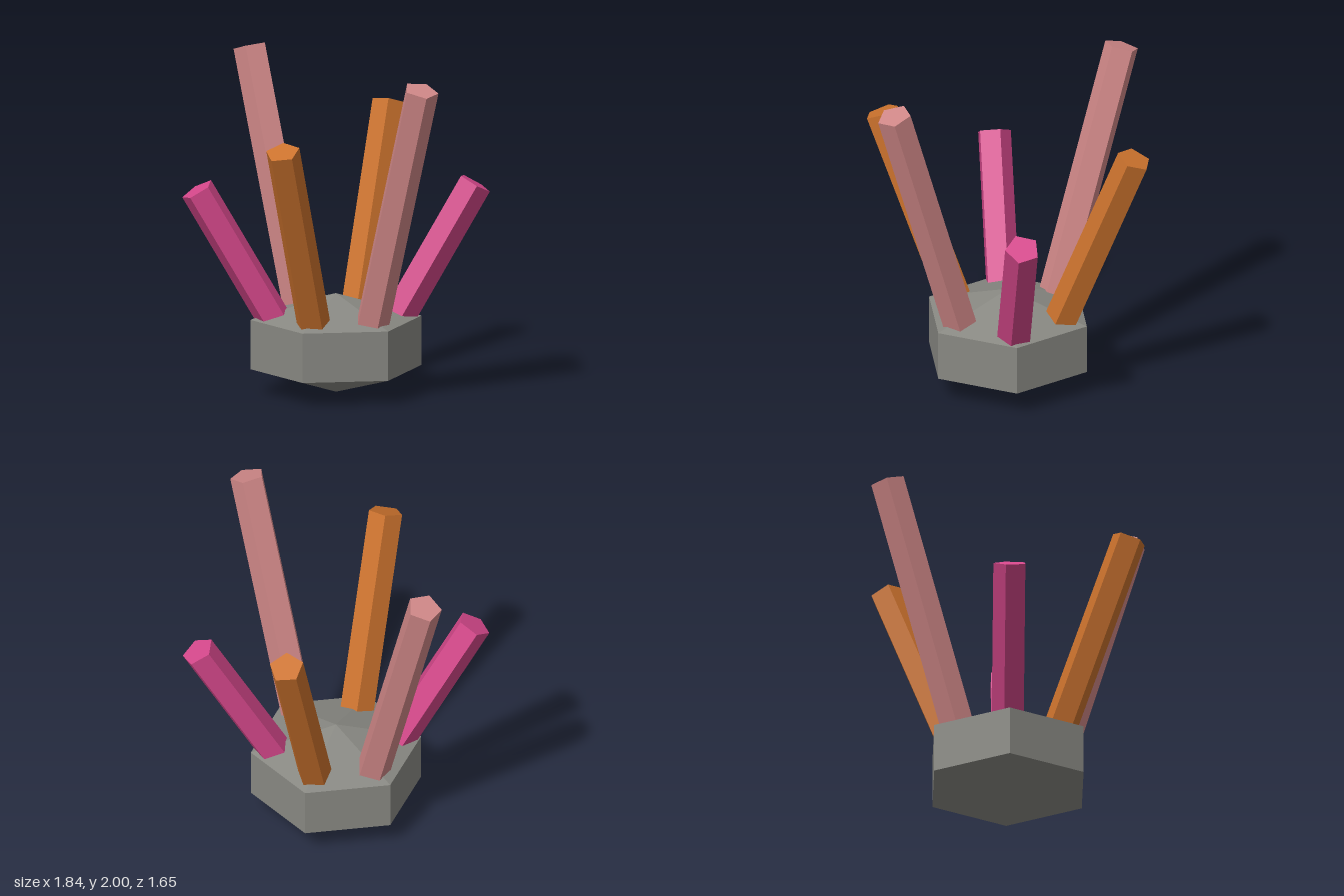
import * as THREE from 'three';

export function createModel() {
  const model = new THREE.Group();
  model.name = 'crystalCluster';

  const material = (name, color) => {
    const m = new THREE.MeshStandardMaterial({ color, flatShading: true });
    m.name = name;
    return m;
  };
  const stone = material('stoneGrey', 0x888882);
  const magenta = material('magenta', 0xd4478a);
  const rose = material('rosePink', 0xcf8787);
  const amber = material('amberOrange', 0xcb722d);

  // Six-sided rock base, pointed above and below
  const profile = [[0, 0], [0.514, 0.15], [0.514, 0.45], [0, 0.6]]
    .map(([r, y]) => new THREE.Vector2(r, y));
  const base = new THREE.Mesh(new THREE.LatheGeometry(profile, 6, Math.PI / 6), stone);
  base.name = 'rockBase';
  model.add(base);

  // Five-sided crystals lean outward; each kind appears on opposite sides
  const kinds = [
    { name: 'shortCrystal', mat: magenta, tilt: 30, tipRadius: 0.833, tipY: 1.25 },
    { name: 'tallCrystal', mat: rose, tilt: 18, tipRadius: 0.838, tipY: 1.969 },
    { name: 'middleCrystal', mat: amber, tilt: 22.5, tipRadius: 0.825, tipY: 1.612 },
  ];
  const rootY = 0.3;
  for (let i = 0; i < 6; i++) {
    const { name, mat, tilt, tipRadius, tipY } = kinds[i % 3];
    const angle = THREE.MathUtils.degToRad(tilt);
    const length = (tipY - rootY) / Math.cos(angle);

    const geometry = new THREE.CylinderGeometry(0.105, 0.105, length, 5);
    geometry.translate(0, -length / 2, 0); // pivot at the tip
    const crystal = new THREE.Mesh(geometry, mat);
    crystal.name = name;
    crystal.position.set(tipRadius, tipY, 0);
    crystal.rotation.z = -angle;

    const arm = new THREE.Group();
    arm.name = `${name}Mount${i < 3 ? 'Front' : 'Back'}`;
    arm.rotation.y = -i * Math.PI / 3;
    arm.add(crystal);
    model.add(arm);
  }
  return model;
}
